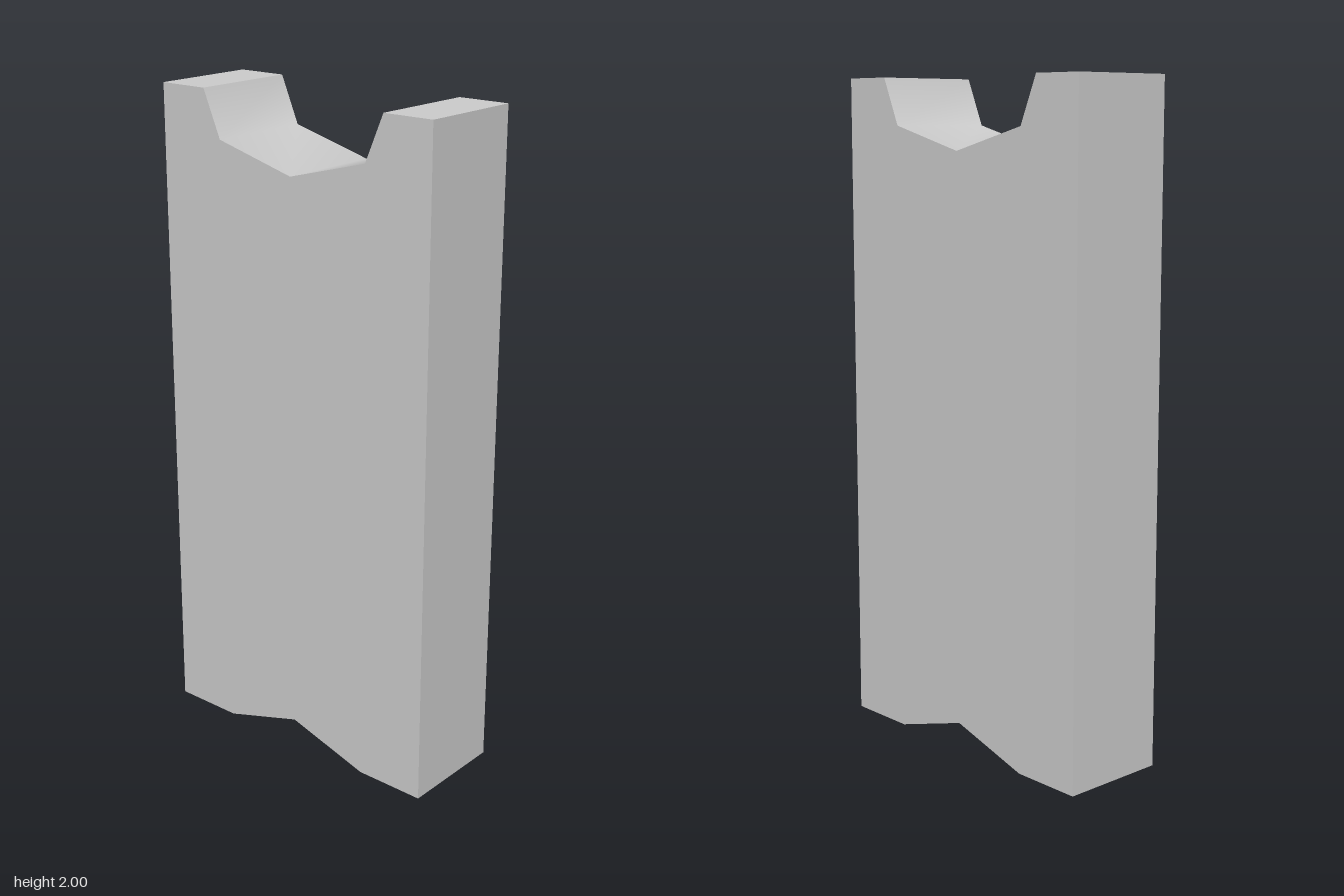
import * as THREE from 'three';
import { toCreasedNormals } from 'three/addons/utils/BufferGeometryUtils.js';

const WIDTH = 0.972, DEPTH = 0.333, HEIGHT = 2;

export function createModel() {
  const group = new THREE.Group();
  group.name = 'notchedPost';

  // Right half of the outline, from the bottom centre up to the top notch centre
  const half = [
    [0, 0.08], [0.265, 0], [WIDTH / 2, 0],
    [WIDTH / 2, HEIGHT], [0.325, HEIGHT], [0.265, 1.86], [0, 1.79],
  ];
  // Mirror it, leaving out the two centre points
  const mirrored = half.slice(1, -1).reverse().map(([x, y]) => [-x, y]);
  const outline = [...half, ...mirrored].map(([x, y]) => new THREE.Vector2(x, y));

  // Slab with a cradle on top and a shallow peak underneath
  const slab = new THREE.ExtrudeGeometry(new THREE.Shape(outline), {
    depth: DEPTH, bevelEnabled: false,
  });
  slab.translate(0, 0, -DEPTH / 2);

  // Blend the gentle bends of the cradle, keep the outer edges sharp
  const body = new THREE.Mesh(
    toCreasedNormals(slab, THREE.MathUtils.degToRad(60)),
    new THREE.MeshStandardMaterial({ color: 0xcccccc }),
  );
  body.name = 'body';
  group.add(body);
  return group;
}
